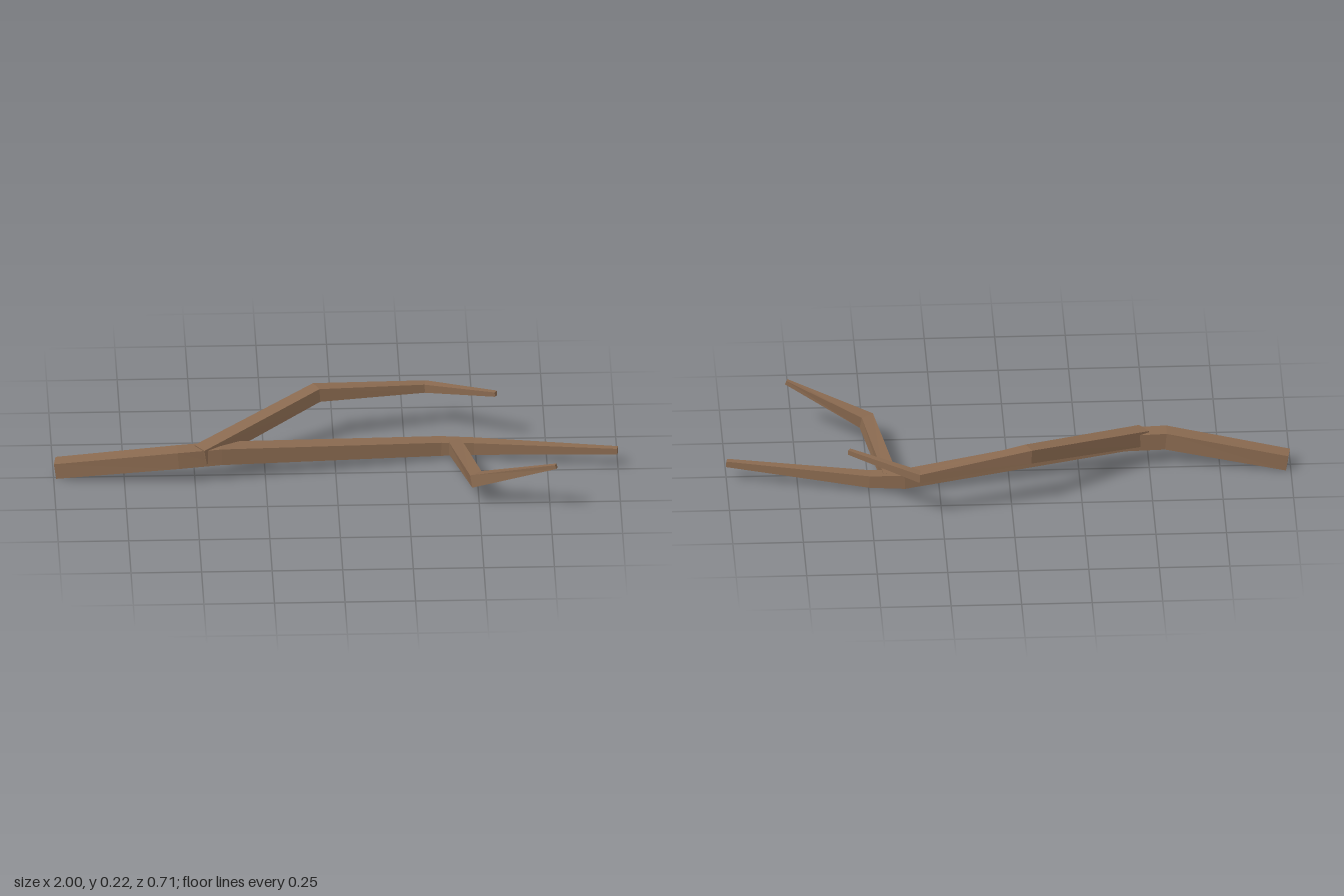
import * as THREE from 'three';

// Sweeps a tapering square section along a path of [x, y, z, thickness], mitred at the bends
function limbGeometry(path) {
  const pts = path.map(([x, y, z]) => new THREE.Vector3(x, y, z));
  const dirs = pts.slice(1).map((p, i) => p.clone().sub(pts[i]).normalize());
  const last = pts.length - 1;
  const rings = pts.map((p, i) => {
    const before = dirs[Math.max(i - 1, 0)];
    const after = dirs[Math.min(i, last - 1)];
    const tangent = before.clone().add(after).normalize();
    const side = tangent.clone().cross(new THREE.Vector3(0, 1, 0)).normalize();
    const up = side.clone().cross(tangent);
    const half = path[i][3] / 2;
    side.multiplyScalar(half / tangent.dot(after));
    up.multiplyScalar(half);
    return [[1, 1], [-1, 1], [-1, -1], [1, -1]].map(([u, s]) =>
      p.clone().addScaledVector(up, u).addScaledVector(side, s));
  });

  const out = [];
  const quad = (a, b, c, d) => [a, b, c, a, c, d].forEach((v) => out.push(v.x, v.y, v.z));
  for (let i = 0; i < last; i++) {
    for (let j = 0; j < 4; j++) {
      const k = (j + 1) % 4;
      quad(rings[i][j], rings[i][k], rings[i + 1][k], rings[i + 1][j]);
    }
  }
  quad(...rings[0].slice().reverse());
  quad(...rings[last]);

  const geometry = new THREE.BufferGeometry();
  geometry.setAttribute('position', new THREE.Float32BufferAttribute(out, 3));
  geometry.computeVertexNormals();
  return geometry;
}

export function createModel() {
  const model = new THREE.Group();
  model.name = 'fallenBranch';
  const bark = new THREE.MeshStandardMaterial({ color: 0x8a6a50 });
  bark.name = 'bark';

  const limbs = {
    mainStem: [
      [-0.991, 0.031, -0.018, 0.058],
      [-0.56, 0.098, 0.043, 0.063],
      [-0.41, 0.102, 0.027, 0.062],
      [0.375, 0.043, -0.12, 0.052],
      [0.495, 0.043, -0.115, 0.046],
      [0.999, 0.068, -0.017, 0.022],
    ],
    // Long side branch curving out to the back
    backBranch: [
      [-0.48, 0.107, 0.045, 0.058],
      [-0.06, 0.199, -0.245, 0.051],
      [0.328, 0.168, -0.339, 0.032],
      [0.574, 0.204, -0.205, 0.017],
    ],
    // Short hooked branch towards the front
    frontBranch: [
      [0.425, 0.044, -0.115, 0.048],
      [0.492, 0.09, 0.235, 0.046],
      [0.77, 0.194, 0.345, 0.015],
    ],
  };

  for (const [name, path] of Object.entries(limbs)) {
    const mesh = new THREE.Mesh(limbGeometry(path), bark);
    mesh.name = name;
    model.add(mesh);
  }
  return model;
}
